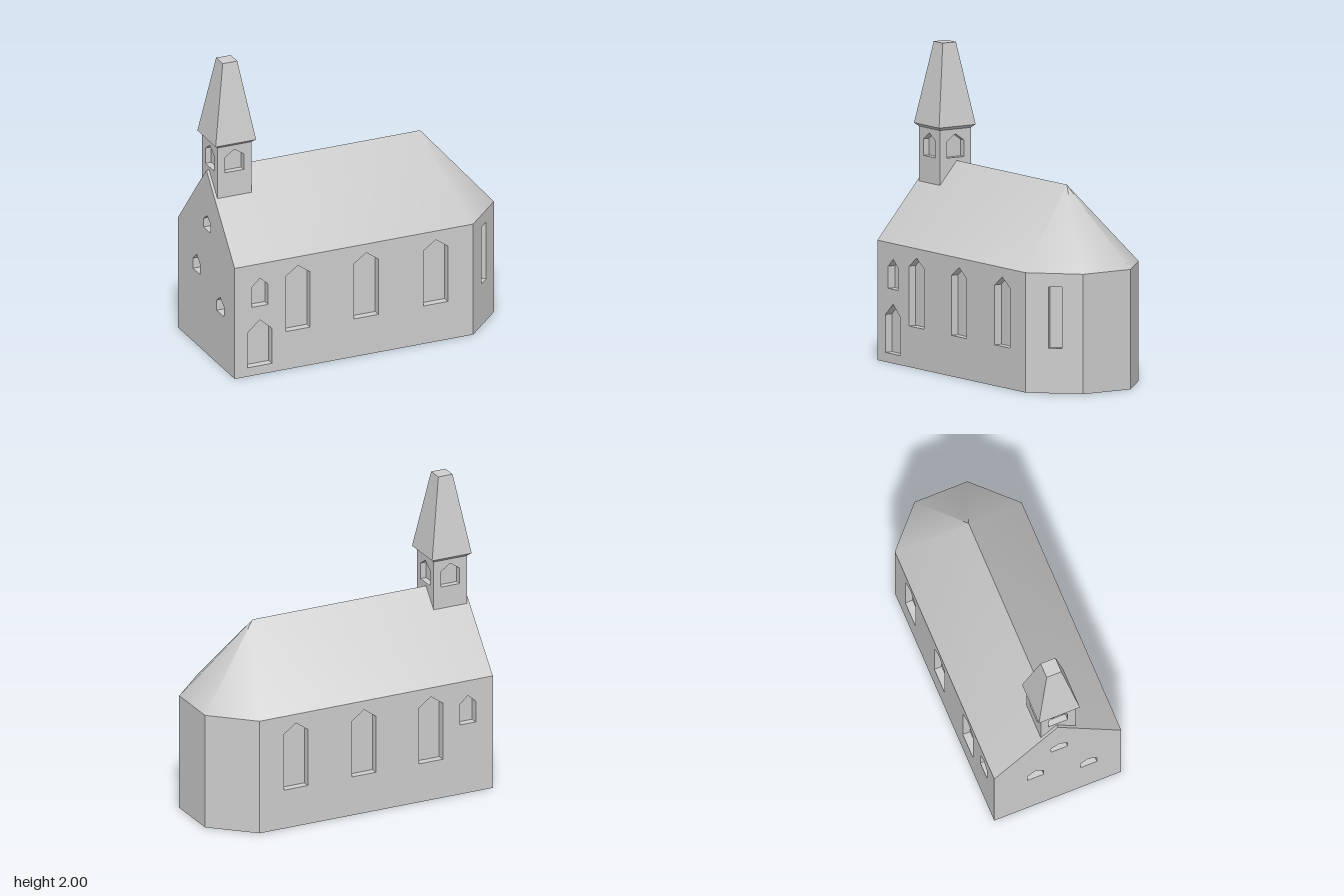
import * as THREE from 'three';
import { toCreasedNormals } from 'three/addons/utils/BufferGeometryUtils.js';

const stone = new THREE.MeshStandardMaterial({ color: 0xcccccc });
stone.name = 'pale grey stone';

function addMesh(parent, geometry, name) {
  const mesh = new THREE.Mesh(geometry, stone);
  mesh.name = name;
  parent.add(mesh);
  return mesh;
}

function fromTriangles(points) {
  const g = new THREE.BufferGeometry();
  g.setAttribute('position', new THREE.Float32BufferAttribute(points.flat(), 3));
  g.computeVertexNormals();
  return g;
}

// Opening outline, counter-clockwise; a shoulder below the top gives a pointed head
function opening([u, w, y0, shoulder, top]) {
  const pts = [[u - w / 2, y0], [u + w / 2, y0], [u + w / 2, shoulder]];
  if (top > shoulder) pts.push([u, top]);
  pts.push([u - w / 2, shoulder]);
  return pts.map(p => new THREE.Vector2(...p));
}

// Flat wall from floor point a to b, with recessed openings; outside is local +z
function addWall(parent, name, a, b, outline, openings = [], depth = 0.05) {
  const wall = new THREE.Group();
  wall.name = name;
  wall.position.set(a[0], 0, a[1]);
  wall.rotation.y = Math.atan2(a[1] - b[1], b[0] - a[0]);
  const shape = new THREE.Shape(outline.map(p => new THREE.Vector2(...p)));
  for (const spec of openings) {
    const pts = opening(spec);
    shape.holes.push(new THREE.Path(pts));
    const tris = [];
    pts.forEach((p, i) => {
      const q = pts[(i + 1) % pts.length];
      const p0 = [p.x, p.y, 0], q0 = [q.x, q.y, 0];
      const p1 = [p.x, p.y, -depth], q1 = [q.x, q.y, -depth];
      tris.push(p0, q0, q1, p0, q1, p1);
    });
    addMesh(wall, fromTriangles(tris), 'windowReveal');
    addMesh(wall, new THREE.ShapeGeometry(new THREE.Shape(pts)), 'windowPane').position.z = -depth;
  }
  addMesh(wall, new THREE.ShapeGeometry(shape), 'wallFace');
  parent.add(wall);
}

const rectangle = (w, y0, y1) => [[0, y0], [w, y0], [w, y1], [0, y1]];

export function createModel() {
  const church = new THREE.Group();
  church.name = 'church';
  const eaves = 0.76, ridge = 1.26;

  // Footprint as [x, z], going round from the front left corner
  const plan = [[-0.95, 0.43], [0.69, 0.43], [0.95, 0.17], [0.95, -0.19], [0.69, -0.43], [-0.95, -0.43]];

  // Nave and apse walls
  const bigWindows = [-0.515, -0.045, 0.433].map(x => [x, 0.167, 0.26, 0.64, 0.7]);
  const smallWindow = [-0.775, 0.11, 0.47, 0.61, 0.66];
  const door = [-0.777, 0.167, 0.06, 0.3, 0.375];
  const frontOpenings = [...bigWindows, smallWindow, door].map(([x, ...r]) => [x + 0.95, ...r]);
  const backOpenings = [...bigWindows, smallWindow].map(([x, ...r]) => [0.69 - x, ...r]);
  const gableOpenings = [
    [0.44, 0.11, 0.85, 0.91, 0.95],
    [0.28, 0.11, 0.5, 0.57, 0.62],
    [0.64, 0.11, 0.36, 0.43, 0.47],
  ];
  const names = ['frontWall', 'apseFrontWall', 'apseEndWall', 'apseBackWall', 'backWall', 'gableWall'];
  const openings = [frontOpenings, [[0.19, 0.085, 0.285, 0.675, 0.675]], [], [], backOpenings, gableOpenings];
  plan.forEach((a, i) => {
    const b = plan[(i + 1) % 6];
    const w = Math.hypot(b[0] - a[0], b[1] - a[1]);
    const outline = rectangle(w, 0, eaves);
    if (i === 5) outline.splice(3, 0, [w / 2, ridge]);
    addWall(church, names[i], a, b, outline, openings[i], i === 1 ? 0.04 : 0.05);
  });

  // Floor slab underside
  const floor = new THREE.ShapeGeometry(new THREE.Shape(plan.map(([x, z]) => new THREE.Vector2(x, z))));
  floor.rotateX(Math.PI / 2);
  addMesh(church, floor, 'floor');

  // Roof: two slopes and a softly rounded hipped end
  const e = plan.map(([x, z]) => [x, eaves, z]);
  const west = [-0.95, ridge, 0], east = [0.52, ridge, 0];
  const roof = fromTriangles([
    e[0], e[1], east, e[0], east, west,
    e[1], e[2], east, e[2], e[3], east, e[3], e[4], east,
    e[4], e[5], east, e[5], west, east,
  ]);
  addMesh(church, toCreasedNormals(roof, Math.PI / 4), 'roof');

  // Bell tower with an opening on every side
  const tower = new THREE.Group();
  tower.name = 'bellTower';
  tower.position.set(-0.815, 0, 0.01);
  const h = 0.117;
  const corners = [[-h, h], [h, h], [h, -h], [-h, -h]];
  corners.forEach((a, i) => addWall(tower, 'towerWall', a, corners[(i + 1) % 4],
    rectangle(2 * h, 1.08, 1.46), [[h, 0.13, 1.28, 1.385, 1.43]], 0.04));

  // Square tapered section between two half widths
  function taper(name, topHalf, bottomHalf, y0, y1, open) {
    const g = new THREE.CylinderGeometry(topHalf * Math.SQRT2, bottomHalf * Math.SQRT2, y1 - y0, 4, 1, open);
    g.rotateY(Math.PI / 4);
    g.translate(0, (y0 + y1) / 2, 0);
    addMesh(tower, toCreasedNormals(g, 0.4), name);
  }
  taper('spireEaves', 0.139, h, 1.46, 1.48, true);
  taper('spire', 0.05, 0.139, 1.48, 2, false);
  church.add(tower);

  return church;
}
